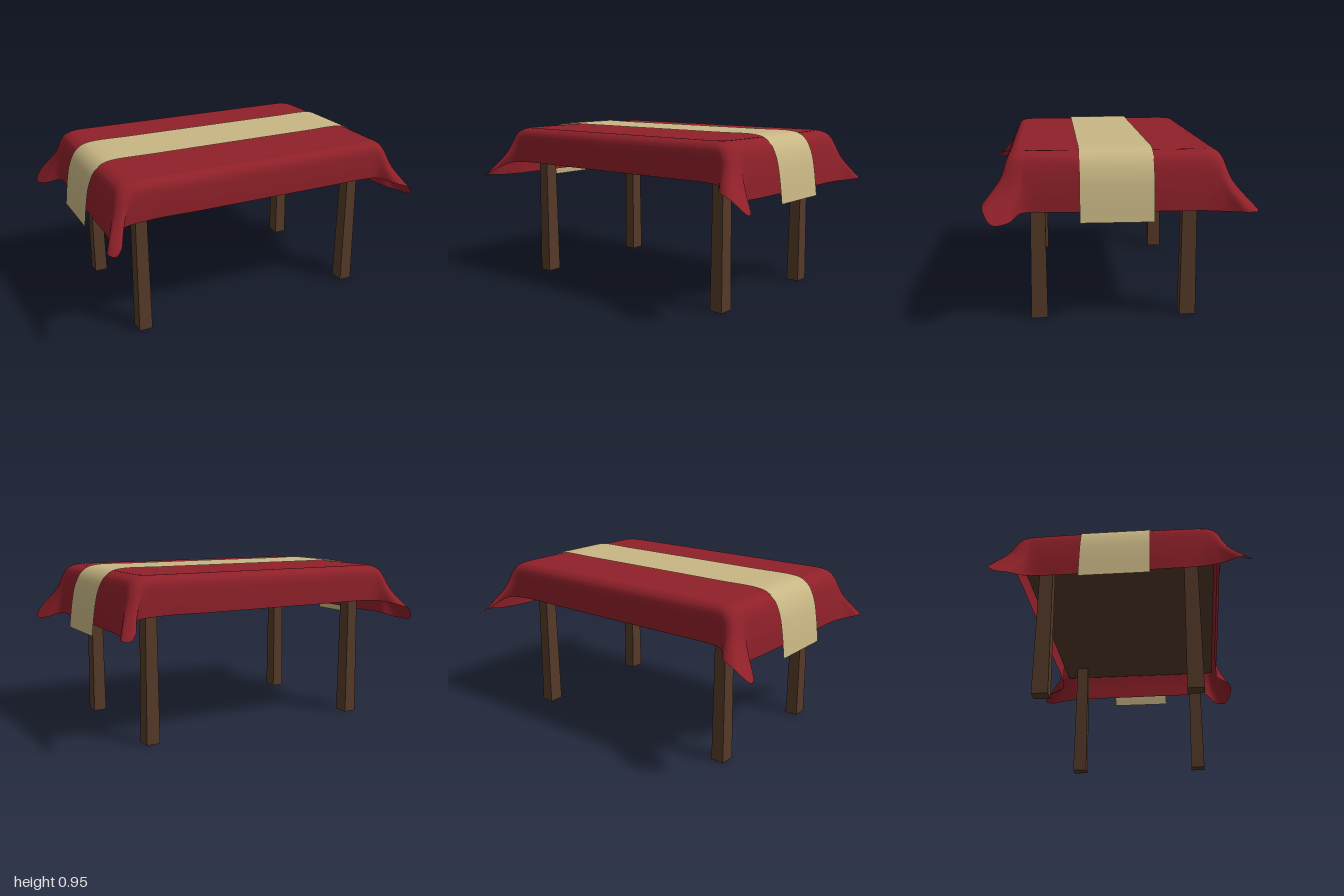
import * as THREE from 'three';

const V = (x, y, z) => new THREE.Vector3(x, y, z);
const mat = (color, extra = {}) => new THREE.MeshStandardMaterial({ color, ...extra });

// Half of the cloth outline, front centre round to back centre:
// hem x, y, z, then the table-edge x, z it hangs from.
const HALF = [
  [0, .725, .57, 0, .57], [.4, .725, .57, .4, .57], [.68, .725, .57, .68, .57],
  [.78, .72, .58, .77, .57], [.86, .70, .67, .815, .567], [.94, .67, .685, .84, .555],
  [1.0, .60, .635, .856, .535], [.97, .60, .555, .865, .51], [.885, .63, .49, .868, .47],
  [.875, .63, .3, .872, .3], [.88, .63, 0, .875, 0], [.885, .63, -.3, .872, -.3],
  [.89, .63, -.47, .868, -.47], [.92, .63, -.59, .865, -.51], [.96, .635, -.68, .856, -.535],
  [.93, .635, -.73, .84, -.555], [.885, .67, -.70, .815, -.567], [.85, .71, -.59, .77, -.57],
  [.70, .725, -.57, .68, -.57], [.4, .725, -.57, .4, -.57],
];

function clothGeometry() {
  // The other half is the same outline turned half way round
  const rows = [...HALF, ...HALF.map(([x, y, z, a, b]) => [-x, y, -z, -a, -b])];
  const hem = new THREE.CatmullRomCurve3(rows.map(r => V(r[0], r[1], r[2])), true);
  const edge = new THREE.CatmullRomCurve3(rows.map(r => V(r[3], .9, r[4])), true);
  const around = rows.length * 5, down = 16;
  const pos = [0, .935, 0], index = [];

  for (let j = 0; j < around; j++) {
    const h = hem.getPoint(j / around), e = edge.getPoint(j / around);
    // Profile from the flat top over the rounded edge down to the hem
    const profile = new THREE.CatmullRomCurve3([
      V(e.x * .84, .935, e.z * .84),
      V(e.x * .91, .934, e.z * .92),
      V(e.x * .97, .902, e.z * .985),
      V(e.x + (h.x - e.x) * .3, .9 + (h.y - .9) * .5, e.z + (h.z - e.z) * .3),
      h,
    ]);
    for (let i = 0; i <= down; i++) pos.push(...profile.getPoint(i / down).toArray());
  }

  const id = (j, i) => 1 + (j % around) * (down + 1) + i;
  for (let j = 0; j < around; j++) {
    index.push(0, id(j, 0), id(j + 1, 0));
    for (let i = 0; i < down; i++) {
      index.push(id(j, i), id(j, i + 1), id(j + 1, i + 1));
      index.push(id(j, i), id(j + 1, i + 1), id(j + 1, i));
    }
  }
  const g = new THREE.BufferGeometry();
  g.setAttribute('position', new THREE.Float32BufferAttribute(pos, 3));
  g.setIndex(index);
  g.computeVertexNormals();
  return g;
}

function runnerGeometry() {
  // Strip bent along a path over the table from end to end
  const side = [[.93, .585], [.91, .74], [.89, .83], [.855, .9], [.81, .936], [.75, .95], [.5, .951]];
  const path = new THREE.CatmullRomCurve3([
    ...side.map(([x, y]) => V(-x, y, 0)),
    ...side.slice().reverse().map(([x, y]) => V(x, y, 0)),
  ]);
  const g = new THREE.PlaneGeometry(1, .385, 78, 1);
  g.rotateX(-Math.PI / 2);
  const p = g.attributes.position;
  for (let i = 0; i < p.count; i++) {
    const q = path.getPoint(THREE.MathUtils.clamp(p.getX(i) + .5, 0, 1));
    p.setXYZ(i, q.x, q.y, p.getZ(i));
  }
  g.computeVertexNormals();
  return g;
}

export function createModel() {
  const group = new THREE.Group();
  const add = (name, geometry, material) => {
    const m = new THREE.Mesh(geometry, material);
    m.name = name;
    group.add(m);
    return m;
  };
  const wood = mat(0x553a28);

  // Table board hidden under the cloth
  add('tableTop', new THREE.BoxGeometry(1.65, .08, 1.08), wood).position.y = .82;

  // Square legs, slightly narrower at the top
  const leg = new THREE.BoxGeometry(.078, .8, .09);
  const p = leg.attributes.position;
  for (let i = 0; i < p.count; i++) {
    if (p.getY(i) > 0) p.setXYZ(i, p.getX(i) * .84, p.getY(i), p.getZ(i) * .84);
  }
  leg.computeVertexNormals();
  for (const [x, xName] of [[.69, 'Left'], [-.69, 'Right']]) {
    for (const [z, zName] of [[.41, 'front'], [-.41, 'back']]) {
      add(`${zName}${xName}Leg`, leg, wood).position.set(x, .4, z);
    }
  }

  // Draped cloth and the runner across it
  add('tablecloth', clothGeometry(), mat(0x8f2029, { side: THREE.DoubleSide }));
  add('tableRunner', runnerGeometry(), mat(0xc8b684, { side: THREE.DoubleSide }));
  return group;
}
